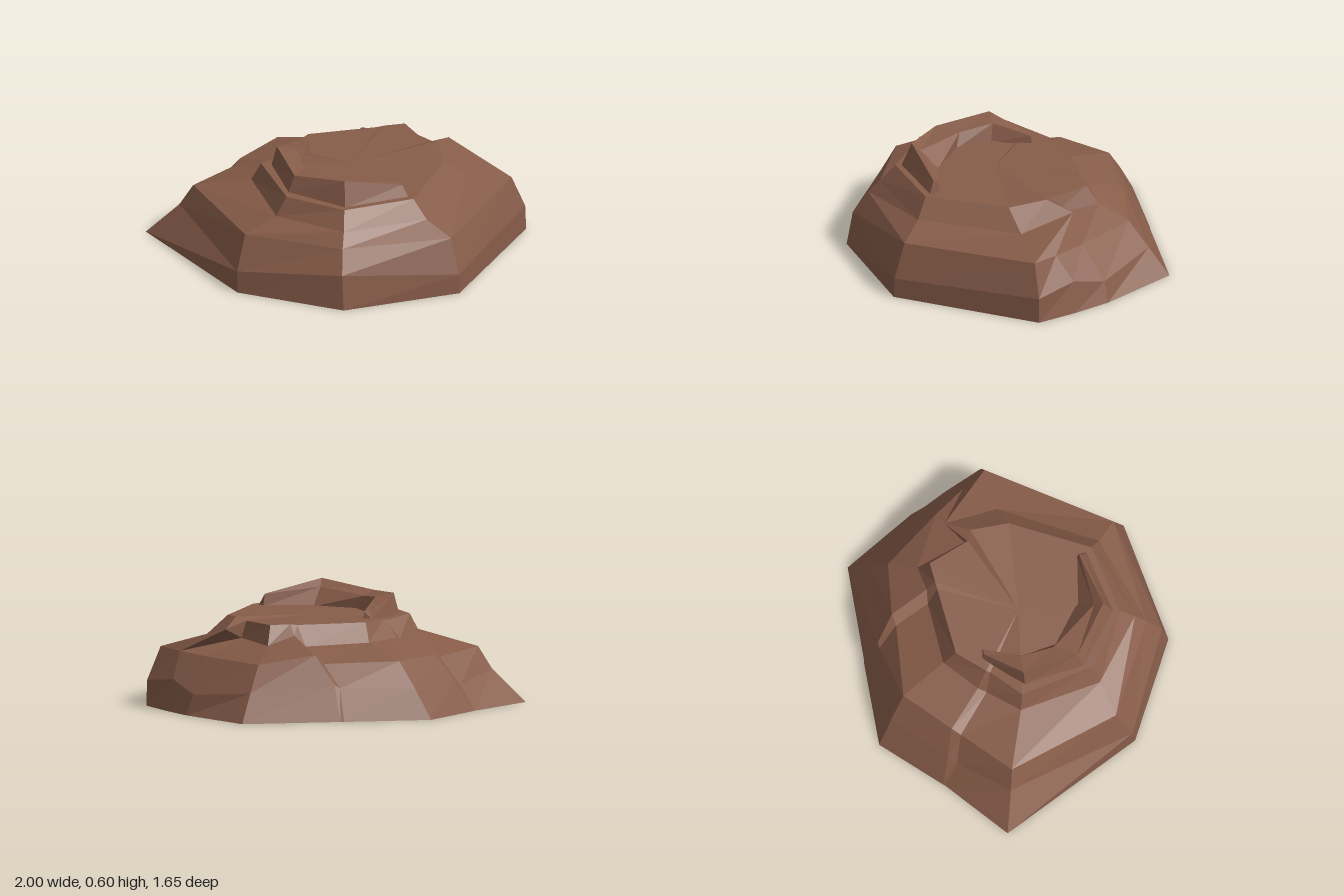
import * as THREE from 'three';

// Skirt columns, counterclockwise from above: base, mid and shoulder points.
const skirt = [
  [-1, 0, -0.3, -0.83, 0.18, -0.235, -0.76, 0.3, -0.21],
  [-0.67, 0, 0.5, -0.67, 0.12, 0.485, -0.61, 0.3, 0.41],
  [-0.16, 0, 0.825, -0.16, 0.19, 0.79, -0.14, 0.31, 0.71],
  [0.49, 0, 0.76, 0.49, 0.11, 0.755, 0.46, 0.3, 0.69],
  [1, 0, 0.1, 0.995, 0.14, 0.1, 0.92, 0.32, 0.1],
  [0.95, 0, -0.12, 0.91, 0.17, -0.12, 0.85, 0.31, -0.04],
  [0.89, 0, -0.32, 0.85, 0.11, -0.31, 0.75, 0.3, -0.22],
  [0.69, 0, -0.725, 0.62, 0.15, -0.63, 0.55, 0.29, -0.54],
  [0.16, 0, -0.78, 0.17, 0.19, -0.7, 0.25, 0.34, -0.6],
  [0.14, 0, -0.785, 0.14, 0.17, -0.7, 0.2, 0.29, -0.59],
  [-0.33, 0, -0.83, -0.265, 0.16, -0.745, -0.2, 0.3, -0.66],
  [-0.64, 0, -0.56, -0.55, 0.16, -0.51, -0.45, 0.3, -0.46],
  [-0.65, 0, -0.55, -0.59, 0.13, -0.47, -0.49, 0.28, -0.42],
];

// Matching cap columns: ledge foot and plateau rim.
const cap = [
  [-0.47, 0.37, -0.08, -0.42, 0.47, -0.06],
  [-0.43, 0.37, 0.37, -0.37, 0.47, 0.35],
  [-0.12, 0.38, 0.65, -0.1, 0.47, 0.57],
  [0.35, 0.37, 0.58, 0.29, 0.47, 0.52],
  [0.67, 0.37, 0.1, 0.54, 0.47, 0.13],
  [0.64, 0.44, -0.2, 0.55, 0.49, -0.08],
  [0.53, 0.38, -0.12, 0.5, 0.47, -0.11],
  [0.46, 0.37, -0.4, 0.43, 0.475, -0.34],
  [0.31, 0.42, -0.39, 0.32, 0.475, -0.34],
  [0.25, 0.36, -0.4, 0.28, 0.47, -0.34],
  [-0.1, 0.37, -0.41, -0.1, 0.47, -0.34],
  [-0.29, 0.37, -0.27, -0.24, 0.47, -0.21],
  [-0.32, 0.36, -0.23, -0.25, 0.455, -0.19],
];

// Ridge sections: outer foot, outer crest, inner crest, inner foot.
const ridgeSections = [
  [-0.17, 0.465, -0.21, -0.16, 0.51, -0.2, -0.13, 0.51, -0.2, -0.12, 0.465, -0.2],
  [-0.37, 0.465, -0.03, -0.34, 0.58, -0.03, -0.24, 0.56, -0.02, -0.21, 0.465, 0],
  [-0.35, 0.465, 0.3, -0.31, 0.555, 0.28, -0.23, 0.54, 0.17, -0.19, 0.465, 0.2],
  [-0.09, 0.465, 0.54, -0.08, 0.6, 0.485, -0.06, 0.56, 0.44, 0, 0.465, 0.36],
  [0.27, 0.465, 0.49, 0.24, 0.53, 0.46, 0.25, 0.53, 0.44, 0.26, 0.465, 0.43],
];

const toPoints = (row) => {
  const points = [];
  for (let i = 0; i < row.length; i += 3) points.push(row.slice(i, i + 3));
  return points;
};

// Joins neighbouring columns of points with quads.
function stripFaces(columns, closed) {
  const out = [];
  const count = closed ? columns.length : columns.length - 1;
  for (let i = 0; i < count; i++) {
    const a = columns[i], b = columns[(i + 1) % columns.length];
    for (let k = 0; k < a.length - 1; k++) {
      out.push(a[k], b[k], b[k + 1], a[k], b[k + 1], a[k + 1]);
    }
  }
  return out;
}

function makeMesh(name, corners, material) {
  const geometry = new THREE.BufferGeometry();
  geometry.setAttribute('position', new THREE.Float32BufferAttribute(corners.flat(), 3));
  geometry.computeVertexNormals(); // unshared corners give flat facets
  const mesh = new THREE.Mesh(geometry, material);
  mesh.name = name;
  return mesh;
}

export function createModel() {
  const rock = new THREE.MeshStandardMaterial({ color: 0x875c49, side: THREE.DoubleSide });
  rock.name = 'brown rock';
  const group = new THREE.Group();
  group.name = 'rockMesa';

  // Outer cliffs, open underneath
  const lower = skirt.map(toPoints);
  group.add(makeMesh('cliffs', stripFaces(lower, true), rock));

  // Sloping terrace and steep ledge
  const upper = cap.map((row, i) => [lower[i][2], ...toPoints(row)]);
  group.add(makeMesh('terrace', stripFaces(upper, true), rock));

  // Flat top, fanned from its middle
  const top = [];
  upper.forEach((column, i) => {
    top.push([0.05, 0.472, 0.05], column[2], upper[(i + 1) % upper.length][2]);
  });
  group.add(makeMesh('plateau', top, rock));

  // Curved ridge with closed ends
  const sections = ridgeSections.map(toPoints);
  const ridge = stripFaces(sections, false);
  const [a, b, c, d] = sections[0];
  const [e, f, g, h] = sections[sections.length - 1];
  ridge.push(a, b, c, a, c, d, e, g, f, e, h, g);
  group.add(makeMesh('ridge', ridge, rock));

  return group;
}
